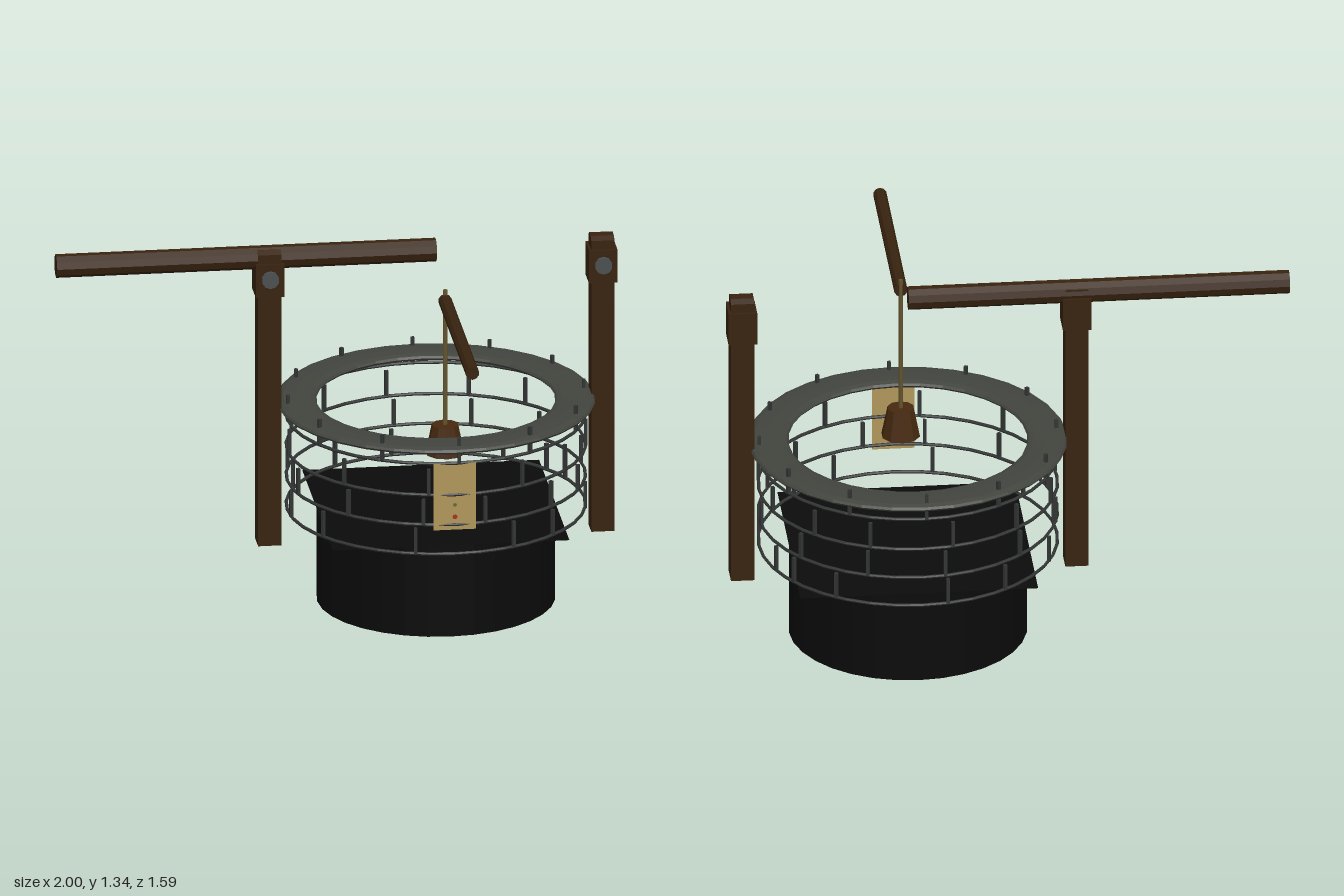
import * as THREE from 'three';

const mat = (name, color, double = false) => {
  const m = new THREE.MeshStandardMaterial({ color, flatShading: true });
  m.name = name;
  if (double) m.side = THREE.DoubleSide;
  return m;
};

export function createModel() {
  const model = new THREE.Group();
  model.name = 'well';
  const wood = mat('dark wood', 0x38230f);
  const bucketWood = mat('bucket wood', 0x46290f);
  const stone = mat('rim stone', 0x42443e);
  const mortar = mat('mortar', 0x333535);
  const black = mat('shaft black', 0x0b0b0b, true);
  const ropeMat = mat('rope', 0x64542f);
  const metal = mat('bolt metal', 0x4a4f50);
  const paper = mat('notice tan', 0xb0965a, true);
  const red = mat('red mark', 0xa83020);
  const green = mat('green mark', 0x5d6b30);

  const CX = 0.355, CZ = -0.225, R = 0.53;
  const add = (name, geo, material, x, y, z, parent = model) => {
    const m = new THREE.Mesh(geo, material);
    m.name = name;
    m.position.set(x, y, z);
    parent.add(m);
    return m;
  };

  // Open shaft with a square water sheet across its top
  add('shaft', new THREE.CylinderGeometry(0.423, 0.423, 0.343, 32, 1, true), black, CX, 0.1715, CZ);
  add('water', new THREE.PlaneGeometry(0.845, 0.845).rotateX(-Math.PI / 2), black, CX, 0.343, CZ);

  // Flat stone rim with rounded edges
  const profile = [];
  for (let i = 0; i <= 12; i++) {
    const a = (i / 12) * Math.PI * 2, c = Math.cos(a), s = Math.sin(a);
    profile.push(new THREE.Vector2(0.494 + 0.071 * Math.sign(c) * Math.pow(Math.abs(c), 0.6), 0.016 * s));
  }
  add('rim', new THREE.LatheGeometry(profile, 32), stone, CX, 0.742, CZ);

  // Mortar courses: a thin ring with upright joints above it
  const joints = [
    [-82, -56, -15, 24, 44, 78, 113, 125, 146, 190, 215, 245],
    [12, 43, 64, 97, 129, 159, 189, 223, 255, 286, 317, 348],
    [-10, 28, 52, 82, 110, 136, 160, 192, 221, 247, 275, 315],
    [1.7, 31.7, 61.7, 91.7, 121.7, 151.7, 181.7, 211.7, 241.7, 271.7, 301.7, 331.7],
  ];
  [0.35, 0.46, 0.572, 0.69].forEach((y, row) => {
    const course = new THREE.Group();
    course.name = 'mortarCourse' + (row + 1);
    course.position.set(CX, y, CZ);
    model.add(course);
    add('mortarRing', new THREE.TorusGeometry(R, 0.006, 6, 36).rotateX(Math.PI / 2), mortar, 0, 0, 0, course);
    for (const deg of joints[row]) {
      const a = THREE.MathUtils.degToRad(deg);
      const j = add('mortarJoint', new THREE.BoxGeometry(0.012, 0.098, 0.012), mortar,
        Math.sin(a) * R, 0.048, Math.cos(a) * R, course);
      j.rotation.y = a;
    }
  });

  // Posts with collar, bevelled cap and bolt
  const capShape = new THREE.Shape([[-0.041, 0], [0.041, 0], [0.041, 0.038], [0.02, 0.05], [-0.02, 0.05], [-0.041, 0.038]]
    .map(([x, y]) => new THREE.Vector2(x, y)));
  for (const [side, x] of [['right', -0.2425], ['left', 0.946]]) {
    const post = new THREE.Group();
    post.name = side + 'Post';
    post.position.set(x, 0, CZ);
    model.add(post);
    add('shaftPost', new THREE.BoxGeometry(0.083, 1.055, 0.083), wood, 0, 0.7595, 0, post);
    add('collar', new THREE.BoxGeometry(0.102, 0.122, 0.106), wood, 0, 1.231, 0, post);
    const cap = new THREE.ExtrudeGeometry(capShape, { depth: 0.083, bevelEnabled: false });
    add('cap', cap.translate(0, 0, -0.0415).rotateY(Math.PI / 2), wood, 0, 1.287, 0, post);
    add('bolt', new THREE.CylinderGeometry(0.031, 0.031, 0.016, 10).rotateX(Math.PI / 2), metal, 0, 1.238, 0.06, post);
  }

  // Cross beam and hoisting rod
  add('beam', new THREE.CylinderGeometry(0.042, 0.042, 1.355, 10).rotateZ(Math.PI / 2), wood, -0.3225, 1.303, -0.229);
  add('rod', new THREE.CylinderGeometry(0.024, 0.024, 0.767, 10).rotateX(Math.PI / 2), wood, CX, 1.204, 0.4135);

  // Rope and bucket
  const BZ = 0.033;
  add('rope', new THREE.CylinderGeometry(0.008, 0.008, 0.51, 8), ropeMat, CX, 0.99, BZ);
  add('bucket', new THREE.CylinderGeometry(0.048, 0.07, 0.108, 10), bucketWood, CX, 0.686, BZ);

  // Notice on the front with small marks
  const SZ = 0.306;
  add('notice', new THREE.PlaneGeometry(0.152, 0.25), paper, CX, 0.566, SZ);
  add('redMark', new THREE.CircleGeometry(0.009, 8), red, CX, 0.49, SZ + 0.003);
  add('greenMark', new THREE.CircleGeometry(0.007, 8), green, CX, 0.535, SZ + 0.003);

  return model;
}
